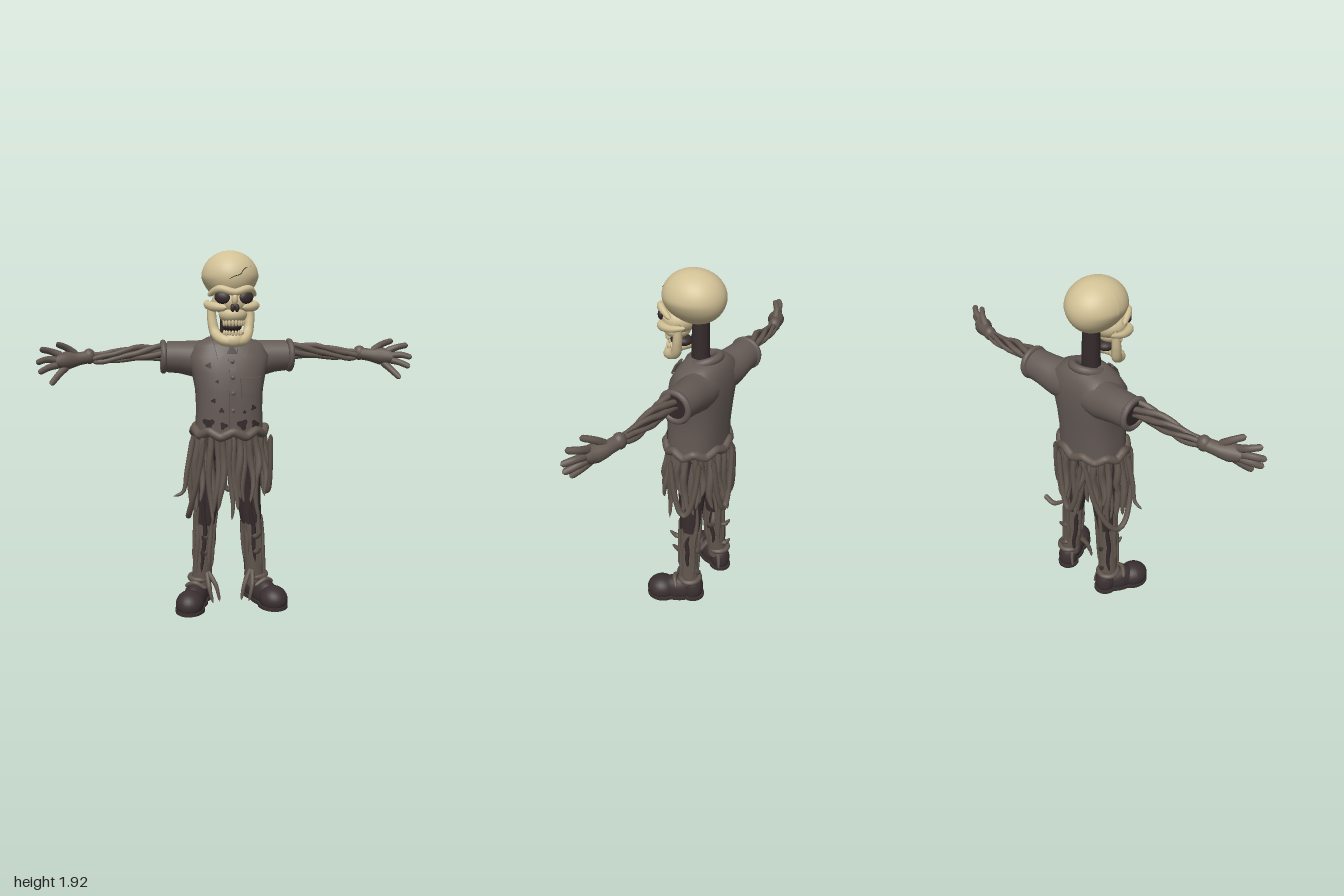
import * as THREE from 'three';

const V = (x, y, z) => new THREE.Vector3(x, y, z);
const mat = (name, color) => Object.assign(new THREE.MeshStandardMaterial({ color, side: THREE.DoubleSide }), { name });

// Seeded random numbers
let seed = 7;
const rnd = (a, b) => {
  seed = (seed * 16807) % 2147483647;
  return a + (b - a) * (seed / 2147483647);
};

// Tube through points with a radius for each point and rounded, closed ends
function taper(pts, radii, seg = 24, sides = 10) {
  const curve = new THREE.CatmullRomCurve3(pts.map((p) => V(...p)));
  const g = new THREE.TubeGeometry(curve, seg, 1, sides, false);
  const pos = g.attributes.position, v = V(0, 0, 0);
  const last = radii.length - 1;
  for (let i = 0; i <= seg; i++) {
    const u = i / seg, f = u * last, k = Math.min(Math.floor(f), last - 1);
    let r = THREE.MathUtils.lerp(radii[k], radii[k + 1], f - k);
    const end = Math.min(i, seg - i);
    r *= end === 0 ? 0 : end === 1 ? 0.8 : 1;
    const c = curve.getPointAt(u);
    for (let j = 0; j <= sides; j++) {
      const n = i * (sides + 1) + j;
      v.fromBufferAttribute(pos, n).sub(c).multiplyScalar(r).add(c);
      pos.setXYZ(n, v.x, v.y, v.z);
    }
  }
  return g;
}

const ball = (x, y, z, rx, ry, rz, w = 24, h = 16) =>
  new THREE.SphereGeometry(1, w, h).scale(rx, ry, rz).translate(x, y, z);

// Shirt cross-sections: height, half width, front z, back z
const BODY = [
  [0.98, 0.182, 0.14, -0.15], [1.1, 0.176, 0.14, -0.155], [1.2, 0.18, 0.138, -0.165],
  [1.3, 0.198, 0.125, -0.172], [1.38, 0.215, 0.1, -0.172], [1.44, 0.18, 0.07, -0.16],
  [1.475, 0.11, 0.045, -0.135], [1.485, 0.06, 0.03, -0.1],
];
function section(y) {
  let k = 0;
  while (k < BODY.length - 2 && y > BODY[k + 1][0]) k++;
  const t = THREE.MathUtils.clamp((y - BODY[k][0]) / (BODY[k + 1][0] - BODY[k][0]), 0, 1);
  return [1, 2, 3].map((i) => THREE.MathUtils.lerp(BODY[k][i], BODY[k + 1][i], t));
}
function frontZ(x, y) {
  const [rx, f, b] = section(y);
  const q = Math.pow(Math.max(0, 1 - Math.pow(Math.abs(x / rx), 2.5)), 0.4);
  return (f + b) / 2 + ((f - b) / 2) * q;
}
// Lay a flat geometry over the shirt front
function drape(g, lift) {
  const p = g.attributes.position;
  for (let i = 0; i < p.count; i++) p.setZ(i, p.getZ(i) + frontZ(p.getX(i), p.getY(i)) + lift);
  g.computeVertexNormals();
  return g;
}
function bodyGeometry() {
  const N = 40, pos = [], idx = [], bend = (c) => Math.sign(c) * Math.pow(Math.abs(c), 0.8);
  for (const [y, rx, f, b] of BODY)
    for (let i = 0; i < N; i++) {
      const t = (i / N) * Math.PI * 2;
      pos.push(rx * bend(Math.cos(t)), y, (f + b) / 2 + ((f - b) / 2) * bend(Math.sin(t)));
    }
  for (let j = 0; j < BODY.length - 1; j++)
    for (let i = 0; i < N; i++) {
      const a = j * N + i, b = j * N + ((i + 1) % N);
      idx.push(a, a + N, b, b, a + N, b + N);
    }
  const g = new THREE.BufferGeometry();
  g.setAttribute('position', new THREE.Float32BufferAttribute(pos, 3));
  g.setIndex(idx);
  g.computeVertexNormals();
  return g;
}

export function createModel() {
  const root = new THREE.Group();
  const cloth = mat('cloth', 0x645a55), limb = mat('driedVine', 0x62574f), dark = mat('darkRot', 0x352b2c);
  const shoe = mat('shoeLeather', 0x3b3032), bone = mat('bone', 0xd2c196);
  const add = (name, g, m) => {
    const mesh = new THREE.Mesh(g, m);
    mesh.name = name;
    root.add(mesh);
    return mesh;
  };

  // Skull
  const cranium = new THREE.SphereGeometry(1, 48, 32), cp = cranium.attributes.position;
  for (let i = 0; i < cp.count; i++) {
    const y = cp.getY(i), k = y < 0 ? 1 + 0.25 * y : 1;
    cp.setXYZ(i, cp.getX(i) * 0.147 * k, 1.785 + y * 0.135, 0.022 + cp.getZ(i) * 0.164);
  }
  cranium.computeVertexNormals();
  add('cranium', cranium, bone);
  add('face', ball(0, 1.665, 0.1, 0.105, 0.075, 0.095), bone);
  add('upperJaw', ball(0, 1.6, 0.125, 0.072, 0.05, 0.072), bone);
  add('noseBridge', ball(0, 1.678, 0.188, 0.017, 0.032, 0.022), bone);
  add('brow', taper([[-0.122, 1.695, 0.085], [-0.07, 1.728, 0.172], [0, 1.712, 0.192], [0.07, 1.728, 0.172], [0.122, 1.695, 0.085]],
    [0.012, 0.02, 0.018, 0.02, 0.012], 32), bone);
  add('mouth', ball(0, 1.54, 0.1, 0.05, 0.03, 0.06), dark);
  add('chin', ball(0, 1.472, 0.158, 0.052, 0.036, 0.03), bone);
  for (const s of [-1, 1]) {
    const eye = add('eyeSocket', ball(0, 0, 0, 0.041, 0.031, 0.02), dark);
    eye.position.set(s * 0.06, 1.685, 0.172);
    eye.rotation.set(0, s * 0.35, s * 0.2);
    add('noseHole', ball(s * 0.011, 1.635, 0.192, 0.012, 0.02, 0.012, 12, 8), dark);
    add('cheekbone', taper([[s * 0.04, 1.635, 0.18], [s * 0.098, 1.64, 0.15], [s * 0.125, 1.648, 0.08], [s * 0.115, 1.665, 0]],
      [0.018, 0.024, 0.018, 0.01]), bone);
    add('lowerJaw', taper([[s * 0.1, 1.67, 0.05], [s * 0.098, 1.57, 0.06], [s * 0.084, 1.505, 0.08], [s * 0.05, 1.472, 0.145], [0, 1.465, 0.165]],
      [0.018, 0.024, 0.027, 0.028, 0.028]), bone);
  }
  for (let i = -3.5; i <= 3.5; i++) {
    const a = i * 0.3, x = Math.sin(a) * 0.056, z = 0.115 + Math.cos(a) * 0.066;
    add('upperTooth', ball(x, 1.562, z, 0.0085, 0.02, 0.008, 10, 8), bone);
    add('lowerTooth', ball(x * 0.95, 1.508, z - 0.006, 0.008, 0.016, 0.008, 10, 8), bone);
  }
  const crack = [[-0.03, 1.775], [0, 1.79], [0.03, 1.8], [0.05, 1.825], [0.09, 1.84]].map(([x, y]) =>
    [x, y, 0.022 + 0.164 * Math.sqrt(1 - (x / 0.147) ** 2 - ((y - 1.785) / 0.135) ** 2)]);
  add('skullCrack', taper(crack, [0.001, 0.002, 0.002, 0.002, 0.001], 20, 5), dark);
  add('neck', new THREE.CylinderGeometry(0.044, 0.05, 0.34, 16).translate(0, 1.52, -0.015), dark);

  // Shirt with collar, buttons, pocket and rotten holes
  add('shirtBody', bodyGeometry(), cloth);
  const collar = new THREE.TorusGeometry(0.078, 0.022, 10, 32).rotateX(Math.PI / 2 + 0.3).translate(0, 1.468, -0.04);
  add('collar', collar, cloth);
  for (const s of [-1, 1]) {
    const flap = new THREE.BoxGeometry(0.07, 0.08, 0.012, 6, 6, 1), p = flap.attributes.position;
    for (let i = 0; i < p.count; i++) {
      const u = p.getX(i) / 0.07 + 0.5, v = p.getY(i) / 0.08 + 0.5;
      p.setXY(i, s * (0.03 + 0.065 * u * (0.7 + 0.3 * v)), 1.375 + 0.075 * v + 0.02 * u * v + 0.03 * (1 - u) * (1 - v));
    }
    add('collarFlap', drape(flap, 0.014), cloth);
  }
  const opening = new THREE.RingGeometry(0.001, 0.034, 3, 4, Math.PI / 6).rotateZ(Math.PI).translate(0, 1.415, 0);
  add('neckOpening', drape(opening, 0.006), dark);
  add('placket', drape(new THREE.BoxGeometry(0.036, 0.39, 0.008, 2, 24, 1).translate(0, 1.19, 0), 0.001), cloth);
  for (const y of [1.36, 1.28, 1.2, 1.11]) add('button', ball(0, y, frontZ(0, y) + 0.008, 0.011, 0.011, 0.006, 12, 8), cloth);
  add('pocket', drape(new THREE.BoxGeometry(0.1, 0.085, 0.014, 8, 6, 1).translate(0.095, 1.215, 0), 0.004), cloth);
  add('pocketFlap', drape(new THREE.BoxGeometry(0.11, 0.03, 0.02, 8, 3, 1).translate(0.095, 1.263, 0), 0.008), cloth);
  const holes = [[-0.125, 1.04, 0.026], [0.05, 1.035, 0.026], [0.12, 1.03, 0.022], [-0.05, 1.03, 0.018], [-0.1, 1.16, 0.011],
    [-0.06, 1.11, 0.012], [0.11, 1.12, 0.013], [-0.12, 1.34, 0.014], [-0.08, 1.26, 0.008], [0.06, 1.1, 0.009]];
  for (const [x, y, r] of holes) {
    const g = new THREE.RingGeometry(0.001, 1, 14, 3), p = g.attributes.position;
    const wave = rnd(0, 6);
    for (let i = 0; i < p.count; i++) {
      const k = r * (1 + 0.3 * Math.sin(Math.atan2(p.getY(i), p.getX(i)) * 3 + wave));
      p.setXY(i, x + p.getX(i) * k, y + p.getY(i) * k);
    }
    add('shirtHole', drape(g, 0.004), dark);
  }

  for (const s of [-1, 1]) {
    // Sleeve with rolled cuff
    add('sleeve', taper([[s * 0.06, 1.36, -0.07], [s * 0.15, 1.358, -0.077], [s * 0.25, 1.368, -0.085], [s * 0.345, 1.372, -0.086]],
      [0.1, 0.1, 0.087, 0.081], 24, 24), cloth);
    const cuff = add('cuff', new THREE.TorusGeometry(0.075, 0.016, 10, 28), cloth);
    cuff.position.set(s * 0.343, 1.372, -0.086);
    cuff.rotation.set(0, Math.PI / 2, s * -0.12);
    const inside = add('sleeveInside', new THREE.CylinderGeometry(0.07, 0.07, 0.012, 24), dark);
    inside.position.set(s * 0.348, 1.372, -0.086);
    inside.rotation.z = Math.PI / 2 - s * 0.12;

    // Arm of twisted vines around a dark core
    add('armCore', taper([[s * 0.3, 1.395, -0.08], [s * 0.5, 1.385, -0.072], [s * 0.72, 1.38, -0.058]], [0.034, 0.027, 0.02]), dark);
    for (let k = 0; k < 5; k++) {
      const pts = [], ph = (k / 5) * Math.PI * 2;
      for (let i = 0; i <= 7; i++) {
        const u = i / 7, a = ph + u * 3.2, r = 0.033 - 0.013 * u + 0.008 * Math.sin(u * 9 + k);
        pts.push([s * (0.31 + 0.41 * u), 1.397 - 0.02 * u + r * Math.cos(a), -0.08 + 0.024 * u + r * Math.sin(a)]);
      }
      add('armVine', taper(pts, [0.013, 0.017, 0.012, 0.014], 32, 8), limb);
    }
    add('wrist', ball(s * 0.73, 1.382, -0.055, 0.034, 0.04, 0.034), limb);

    // Hand
    add('palm', taper([[s * 0.72, 1.38, -0.055], [s * 0.8, 1.37, -0.03], [s * 0.86, 1.365, 0], [s * 0.9, 1.36, 0.012]],
      [0.032, 0.034, 0.048, 0.034], 20, 14), limb);
    const fingers = [[[0.79, 1.39, -0.03], [0.84, 1.43, -0.01], [0.89, 1.455, 0.03]], [[0.86, 1.39, 0], [0.92, 1.415, 0.01], [0.97, 1.43, 0.045]],
      [[0.87, 1.37, 0], [0.94, 1.375, 0.02], [0.99, 1.362, 0.06]], [[0.87, 1.35, 0], [0.93, 1.335, 0.025], [0.98, 1.312, 0.065]],
      [[0.84, 1.34, 0], [0.885, 1.295, 0.035], [0.922, 1.252, 0.08]]];
    for (const f of fingers) add('finger', taper(f.map(([x, y, z]) => [s * x, y, z]), [0.021, 0.017, 0.015], 16), limb);

    // Leg: dark thigh, ragged lower leg
    add('thigh', taper([[s * 0.09, 0.98, -0.01], [s * 0.105, 0.7, -0.025], [s * 0.13, 0.42, -0.028]], [0.09, 0.074, 0.055], 24, 16), dark);
    add('shin', taper([[s * 0.13, 0.48, -0.028], [s * 0.142, 0.28, -0.03], [s * 0.155, 0.06, -0.04]], [0.058, 0.054, 0.056], 24, 16), limb);
    for (let k = 0; k < 9; k++) {
      const a = (k / 9) * Math.PI * 2 + s, top = rnd(0.45, 0.68), low = rnd(0.1, 0.25), pts = [];
      for (let i = 0; i <= 4; i++) {
        const y = THREE.MathUtils.lerp(top, low, i / 4), b = a + rnd(-0.15, 0.15), r = 0.055 + 0.012 * Math.max(0, (y - 0.45) * 5);
        pts.push([s * (0.158 - 0.06 * y) + r * Math.cos(b), y, -0.028 + r * Math.sin(b)]);
      }
      add('legStrip', taper(pts, [0.006, 0.013, 0.012, 0.007], 20, 7), k % 3 === 1 ? dark : limb);
    }
    for (const [y, len, dz] of [[0.4, 0.08, 1], [0.31, 0.06, 1], [0.35, 0.05, -1], [0.2, 0.05, -1]]) {
      const x = s * (0.15 - 0.05 * y);
      add('legThorn', taper([[x, y - 0.01, -0.03 + dz * 0.04], [x + s * 0.015, y - 0.012, -0.03 + dz * (0.04 + len / 2)],
        [x + s * 0.03, y + 0.02, -0.03 + dz * (0.04 + len)]], [0.016, 0.014, 0.005], 14, 8), limb);
    }
    for (const [x, z] of [[0.06, 0.05], [0.1, 0.07], [0.09, -0.09]])
      add('ankleRoot', taper([[s * 0.13, 0.2, -0.01], [s * (x + 0.02), 0.11, z * 0.8], [s * x, 0.02, z]], [0.012, 0.013, 0.007], 14, 8), limb);

    // Shoe pointing slightly outwards
    const foot = new THREE.Group();
    foot.name = 'foot';
    foot.position.set(s * 0.18, 0, -0.005);
    foot.rotation.y = s * 0.44;
    root.add(foot);
    const piece = (name, g, m) => foot.add(Object.assign(new THREE.Mesh(g, m), { name }));
    const solid = (g) => {
      const p = g.attributes.position;
      for (let i = 0; i < p.count; i++) p.setY(i, Math.max(0.004, p.getY(i)));
      g.computeVertexNormals();
      return g;
    };
    piece('toeCap', solid(ball(0, 0.045, 0.12, 0.077, 0.07, 0.085)), shoe);
    piece('instep', solid(ball(0, 0.05, 0.03, 0.062, 0.08, 0.1)), shoe);
    piece('heel', solid(ball(0, 0.06, -0.062, 0.058, 0.085, 0.06)), shoe);
    piece('shoeCollar', new THREE.TorusGeometry(0.054, 0.016, 8, 24).rotateX(Math.PI / 2).translate(0, 0.135, -0.045), limb);
    piece('lace', taper([[-0.062, 0.1, 0.03], [0, 0.132, 0.045], [0.062, 0.1, 0.03]], [0.011, 0.013, 0.011], 14, 8), limb);
    for (const [z, r, l] of [[0.115, 0.08, 0.09], [-0.06, 0.062, 0.066], [0.03, 0.066, 0.1]])
      piece('sole', new THREE.CylinderGeometry(r, r, 0.018, 28).scale(1, 1, l / r).translate(0, 0.009, z), shoe);
  }

  // Hips and rope belt
  add('hips', ball(0, 0.93, 0, 0.165, 0.14, 0.13), dark);
  const belt = [];
  for (let i = 0; i < 36; i++) {
    const a = (i / 36) * Math.PI * 2;
    belt.push(V(0.192 * Math.cos(a), 0.985 + 0.013 * Math.sin(a * 9), 0.158 * Math.sin(a)));
  }
  add('ropeBelt', new THREE.TubeGeometry(new THREE.CatmullRomCurve3(belt, true), 120, 0.024, 10, true), limb);

  // Skirt of hanging vines
  for (let k = 0; k < 46; k++) {
    const a = (k / 46) * Math.PI * 2 + rnd(-0.06, 0.06), len = rnd(0.24, 0.48), layer = k % 2 ? 0.88 : 1, pts = [];
    const flare = rnd(0.05, 0.25), ph = rnd(0, 6);
    for (let i = 0; i <= 6; i++) {
      const u = i / 6, r = layer * (1 + flare * u + 0.04 * Math.sin(u * 7 + ph)), b = a + 0.1 * Math.sin(u * 5 + ph) * u;
      pts.push([0.186 * r * Math.cos(b), 0.98 - len * u, 0.15 * r * Math.sin(b)]);
    }
    add('skirtVine', taper(pts, [0.016, rnd(0.015, 0.021), rnd(0.014, 0.02), 0.007], 24, 8), limb);
  }
  // Drooping loops and stray curls
  for (const [a0, a1, low] of [[2.3, 4.3, 0.5], [4.4, 5.2, 0.6], [0.2, -0.7, 0.62]]) {
    const pts = [];
    for (let i = 0; i <= 8; i++) {
      const u = i / 8, a = THREE.MathUtils.lerp(a0, a1, u);
      pts.push([0.225 * Math.cos(a), 0.96 - (0.96 - low) * Math.pow(Math.sin(u * Math.PI), 0.7), 0.18 * Math.sin(a)]);
    }
    add('vineLoop', taper(pts, [0.014, 0.016, 0.014], 40, 8), limb);
  }
  add('vineCurl', taper([[-0.2, 0.96, 0.05], [-0.235, 0.78, 0.06], [-0.26, 0.66, 0.06], [-0.31, 0.64, 0.06]], [0.016, 0.015, 0.013, 0.007]), limb);
  add('vineCurl', taper([[0.08, 0.6, -0.15], [0.14, 0.57, -0.18], [0.2, 0.6, -0.19]], [0.008, 0.014, 0.014]), limb);
  return root;
}
